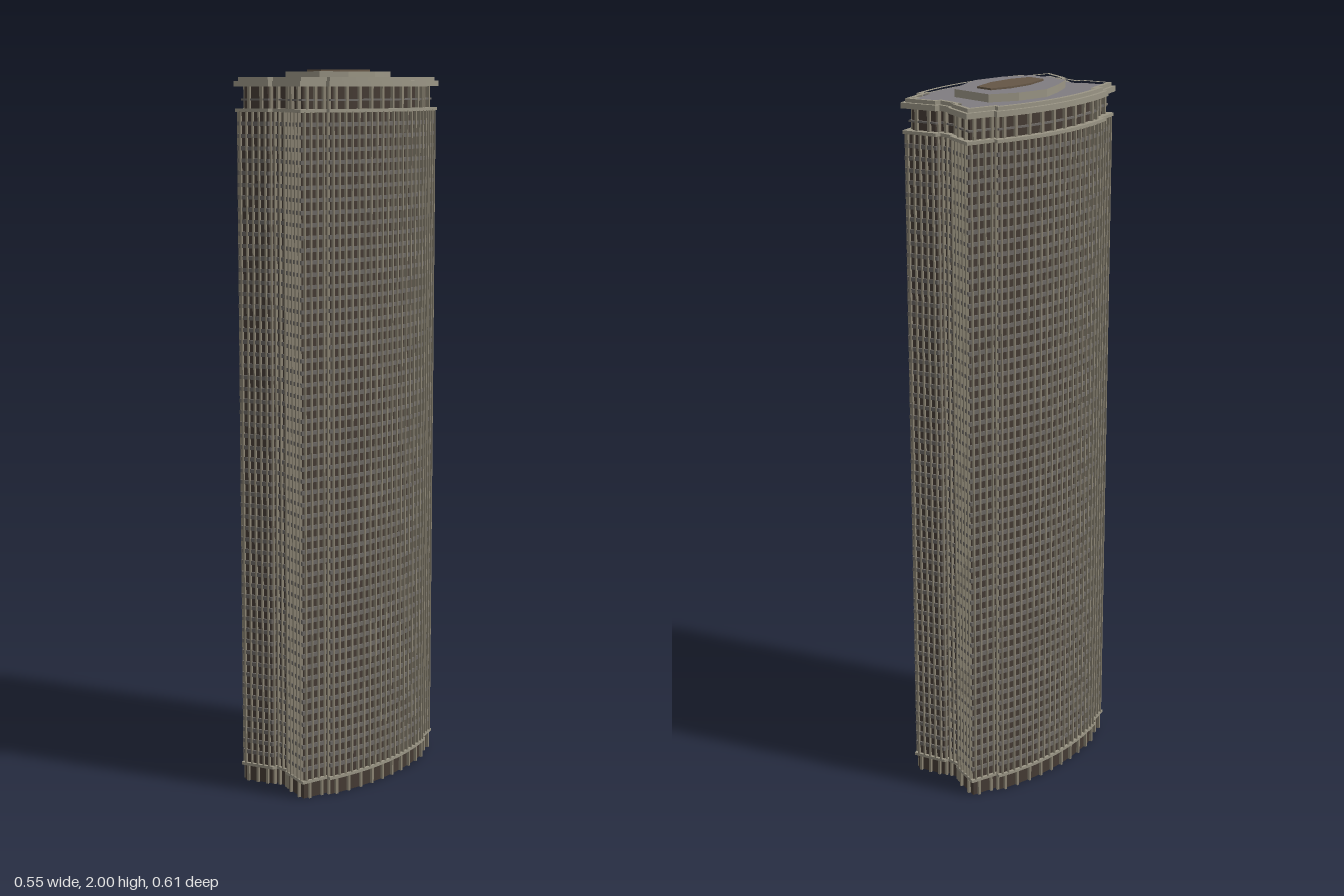
import * as THREE from 'three';
import { mergeGeometries } from 'three/addons/utils/BufferGeometryUtils.js';

const mat = (name, color) => new THREE.MeshStandardMaterial({ name, color });

// Repeat half an outline turned by 180 degrees about the centre
const mirrored = half => [...half, ...half.map(([x, z]) => [-x, -z])];

// Move every edge of a closed outline inward by d
function inset(pts, d) {
  const n = pts.length;
  const normal = (a, b) => {
    const l = Math.hypot(b[0] - a[0], b[1] - a[1]);
    return [(b[1] - a[1]) / l, (a[0] - b[0]) / l];
  };
  return pts.map((p, i) => {
    const a = normal(pts[(i + n - 1) % n], p), b = normal(p, pts[(i + 1) % n]);
    const k = d / (1 + a[0] * b[0] + a[1] * b[1]);
    return [p[0] - (a[0] + b[0]) * k, p[1] - (a[1] + b[1]) * k];
  });
}

// Upright prism over an outline, optionally with a hole
function prism(pts, y0, y1, hole) {
  const v = a => a.map(([x, z]) => new THREE.Vector2(x, -z));
  const shape = new THREE.Shape(v(pts));
  if (hole) shape.holes.push(new THREE.Path(v(hole)));
  const g = new THREE.ExtrudeGeometry(shape, { depth: y1 - y0, bevelEnabled: false });
  return g.rotateX(-Math.PI / 2).translate(0, y0, 0);
}

// Row of upright posts along every edge of an outline
function posts(pts, y0, y1, spacing, width, depth) {
  const list = [];
  pts.forEach((a, i) => {
    const b = pts[(i + 1) % pts.length];
    const dx = b[0] - a[0], dz = b[1] - a[1], len = Math.hypot(dx, dz);
    const count = Math.max(1, Math.round(len / spacing));
    for (let k = 0; k < count; k++) {
      const t = (k + 0.5) / count;
      const g = new THREE.BoxGeometry(width, y1 - y0, depth);
      g.rotateY(-Math.atan2(dz, dx));
      g.translate(a[0] + dx * t, (y0 + y1) / 2, a[1] + dz * t);
      list.push(g);
    }
  });
  return mergeGeometries(list);
}

// Bowed long side between two points
function bow(a, b, sag, steps) {
  const out = [], l = Math.hypot(b[0] - a[0], b[1] - a[1]);
  const nx = (b[1] - a[1]) / l, nz = (a[0] - b[0]) / l;
  for (let i = 0; i <= steps; i++) {
    const t = i / steps, h = 4 * sag * t * (1 - t);
    out.push([a[0] + (b[0] - a[0]) * t + nx * h, a[1] + (b[1] - a[1]) * t + nz * h]);
  }
  return out;
}

export function createModel() {
  const tower = new THREE.Group();
  tower.name = 'tower';
  const stone = mat('stone', 0x9a9585);
  const pier = mat('pierStone', 0x8a8372);
  const slab = mat('slabGrey', 0x6c6864);
  const glass = mat('darkGlass', 0x453b34);
  const roofGrey = mat('roofGrey', 0x7f7c80);
  const brown = mat('brownRoof', 0x655646);
  const add = (name, geometry, material) => {
    const m = new THREE.Mesh(geometry, material);
    m.name = name;
    tower.add(m);
  };

  // Footprint: notched short ends and bowed long sides
  const outline = mirrored([
    [0.091, -0.305], [0.148, -0.218], [0.141, -0.211], [0.171, -0.184],
    [0.182, -0.191], [0.277, -0.152], [0.244, -0.073],
    ...bow([0.259, -0.075], [-0.016, 0.268], 0.035, 10), [-0.025, 0.257],
  ]);
  const face = inset(outline, 0.003);
  const core = inset(outline, 0.011);

  // Base storey
  add('baseWall', prism(core, 0, 0.045), glass);
  add('baseColumns', posts(inset(outline, 0.008), 0, 0.045, 0.036, 0.007, 0.01), pier);
  add('baseLedge', prism(face, 0.045, 0.053), stone);

  // Main shaft: glass core, floor bands and vertical piers
  add('shaftGlass', prism(core, 0.053, 1.895), glass);
  const floors = 56, pitch = (1.89 - 0.053) / floors;
  const band = prism(inset(outline, 0.006), 0, 0.011, inset(outline, 0.014));
  const bands = [];
  for (let i = 1; i < floors; i++) bands.push(band.clone().translate(0, 0.053 + i * pitch - 0.0055, 0));
  add('floorBands', mergeGeometries(bands), slab);
  add('shaftPiers', posts(inset(outline, 0.007), 0.053, 1.89, 0.018, 0.0045, 0.009), pier);
  add('shaftLedge', prism(face, 1.888, 1.897), stone);

  // Recessed crown storey
  add('crownWall', prism(inset(outline, 0.022), 1.89, 1.957), glass);
  add('crownColumns', posts(inset(outline, 0.019), 1.897, 1.957, 0.03, 0.008, 0.012), pier);
  add('crownBand', prism(inset(outline, 0.015), 1.918, 1.923, inset(outline, 0.024)), slab);

  // Cornice, parapet and roof
  add('cornice', prism(outline, 1.955, 1.97), stone);
  add('parapet', prism(inset(outline, 0.009), 1.97, 1.98, inset(outline, 0.02)), stone);
  add('roof', prism(inset(outline, 0.019), 1.968, 1.974), roofGrey);

  // Raised roof tier and penthouse roof
  const tier = mirrored([[0.046, -0.16], [0.142, -0.083], [0.12, -0.018], [0.1, 0.066], [0.03, 0.128]].map(
    (p, i) => (i === 2 ? [0.126, -0.01] : p)));
  add('roofTier', prism(tier, 1.972, 1.995), [roofGrey, stone]);
  const house = mirrored([[0.045, -0.097], [0.084, -0.067], [0.053, 0.005], [0.005, 0.062]]);
  add('penthouse', prism(house, 1.99, 2), brown);

  return tower;
}
